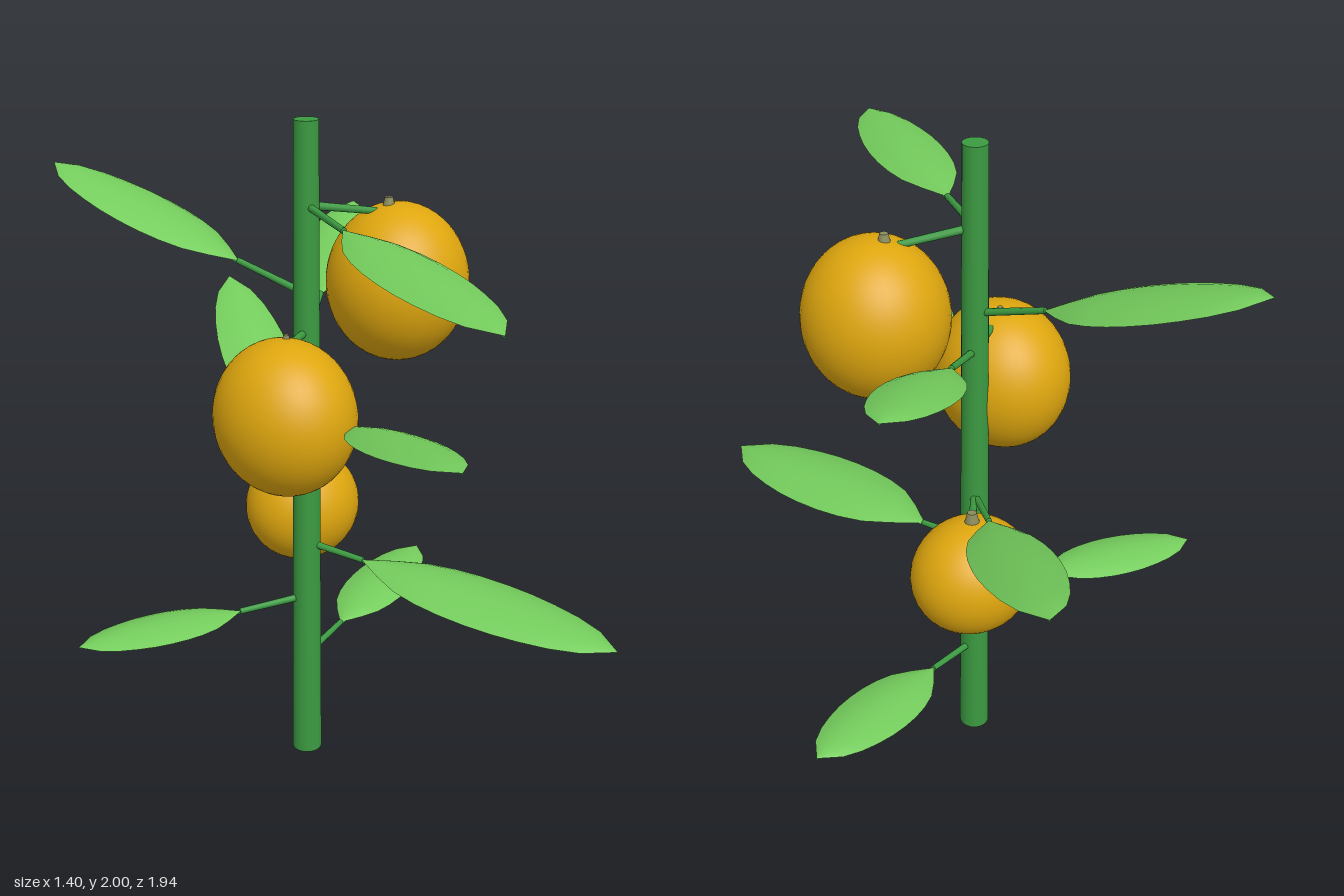
import * as THREE from 'three';

const V = (a) => new THREE.Vector3(...a);
const AXIS = [0.01, -0.04]; // stem centre in x and z

// Blade outline: half width along the leaf, as a share of the widest point
const OUTLINE = [0.03, 0.42, 0.74, 0.9, 0.98, 1, 0.97, 0.88, 0.74, 0.5, 0];
const outlineAt = (t) => {
  const f = Math.min(t, 0.9999) * (OUTLINE.length - 1), i = Math.floor(f);
  return THREE.MathUtils.lerp(OUTLINE[i], OUTLINE[i + 1], f - i);
};

// Domed strip running from base to tip; across(t) is its half width
function bladeGeometry(base, tip, half, across, drop) {
  const rows = 20, cols = 8;
  const geo = new THREE.PlaneGeometry(1, 1, cols, rows);
  const side = new THREE.Vector3(tip.z - base.z, 0, base.x - tip.x).normalize();
  const pos = geo.attributes.position, p = new THREE.Vector3();
  for (let i = 0; i < pos.count; i++) {
    const u = pos.getX(i) * 2, t = pos.getY(i) + 0.5;
    const s = u * across(t), k = half * outlineAt(t);
    const dome = k > 0 ? 0.25 * (k - Math.min(1, (s / k) ** 2) * k) : 0;
    p.lerpVectors(base, tip, t).addScaledVector(side, s);
    pos.setXYZ(i, p.x, p.y + dome - drop, p.z);
  }
  // Turn the faces upwards
  const a = geo.index.array;
  for (let i = 0; i < a.length; i += 3) [a[i], a[i + 1]] = [a[i + 1], a[i]];
  geo.computeVertexNormals();
  if (geo.attributes.normal.getY(Math.floor(pos.count / 2)) < 0) {
    for (let i = 0; i < a.length; i += 3) [a[i], a[i + 1]] = [a[i + 1], a[i]];
    geo.computeVertexNormals();
  }
  return geo;
}

export function createModel() {
  const root = new THREE.Group();
  root.name = 'fruitingBranch';
  const material = (name, color, side = THREE.FrontSide) => {
    const m = new THREE.MeshStandardMaterial({ color, side });
    m.name = name;
    return m;
  };
  const stemGreen = material('stemGreen', 0x3b9a41, THREE.DoubleSide);
  const leafGreen = material('leafGreen', 0x74cc5c, THREE.DoubleSide);
  const orange = material('fruitOrange', 0xdea60e);
  const olive = material('calyxOlive', 0x8a8c5c);

  const add = (parent, name, geo, mat) => {
    const mesh = new THREE.Mesh(geo, mat);
    mesh.name = name;
    parent.add(mesh);
    return mesh;
  };
  // Straight stalk between two points
  const stalk = (parent, name, from, to, r0, r1) => {
    const d = to.clone().sub(from);
    const mesh = add(parent, name, new THREE.CylinderGeometry(r1, r0, d.length(), 10), stemGreen);
    mesh.position.copy(from).addScaledVector(d, 0.5);
    mesh.quaternion.setFromUnitVectors(new THREE.Vector3(0, 1, 0), d.normalize());
  };

  // Main stem
  add(root, 'stem', new THREE.CylinderGeometry(0.035, 0.046, 2, 24), stemGreen)
    .position.set(AXIS[0], 1, AXIS[1]);

  // Leaves: height on the stem, blade base, blade tip, half width
  const leaves = [
    [1.51, [-0.08, 1.58, -0.24], [-0.33, 1.8, -0.81], 0.135],
    [0.9, [0.1, 0.97, -0.25], [0.42, 1.27, -0.97], 0.115],
    [1.39, [0.17, 1.45, -0.17], [0.58, 1.6, -0.5], 0.105],
    [0.335, [0.2, 0.355, -0.1], [0.7, 0.4, -0.28], 0.105],
    [0.545, [-0.21, 0.545, -0.09], [-0.7, 0.548, -0.21], 0.095],
    [1.765, [-0.05, 1.75, 0.19], [-0.25, 1.71, 0.97], 0.11],
    [0.73, [0.08, 0.715, 0.14], [0.33, 0.66, 0.91], 0.14],
    [1.16, [-0.05, 1.205, 0.22], [-0.23, 1.33, 0.84], 0.1],
  ];
  for (const [y, b, t, half] of leaves) {
    const leaf = new THREE.Group();
    leaf.name = 'leaf';
    root.add(leaf);
    const base = V(b), tip = V(t);
    add(leaf, 'blade', bladeGeometry(base, tip, half, (s) => half * outlineAt(s), 0), leafGreen);
    add(leaf, 'midrib', bladeGeometry(base, tip, half, (s) => 0.009 * (1 - 0.8 * s), 0.005), stemGreen);
    stalk(leaf, 'petiole', V([AXIS[0], y, AXIS[1]]), base, 0.011, 0.009);
  }

  // Fruits: centre, radii, calyx position and size, stalk height on the stem
  const fruits = [
    [[0.26, 1.525, 0.065], [0.204, 0.228, 0.207], [0.235, 1.752, 0.05], 0.021, 1.765],
    [[-0.155, 1.212, 0.068], [0.195, 0.224, 0.217], [-0.135, 1.432, 0.05], 0.014, 1.4],
    [[0.127, 0.765, -0.205], [0.183, 0.176, 0.168], [0.118, 0.95, -0.19], 0.024, 0.91],
  ];
  for (const [c, r, cap, size, y] of fruits) {
    const fruit = new THREE.Group();
    fruit.name = 'fruit';
    root.add(fruit);
    const body = add(fruit, 'fruitBody', new THREE.SphereGeometry(1, 40, 28), orange);
    body.position.set(...c);
    body.scale.set(...r);
    add(fruit, 'calyx', new THREE.CylinderGeometry(size * 0.55, size, size * 1.7, 12), olive)
      .position.set(...cap);
    stalk(fruit, 'fruitStalk', V([AXIS[0], y, AXIS[1]]), V(cap).setY(cap[1] - 0.025), 0.012, 0.01);
  }
  return root;
}
